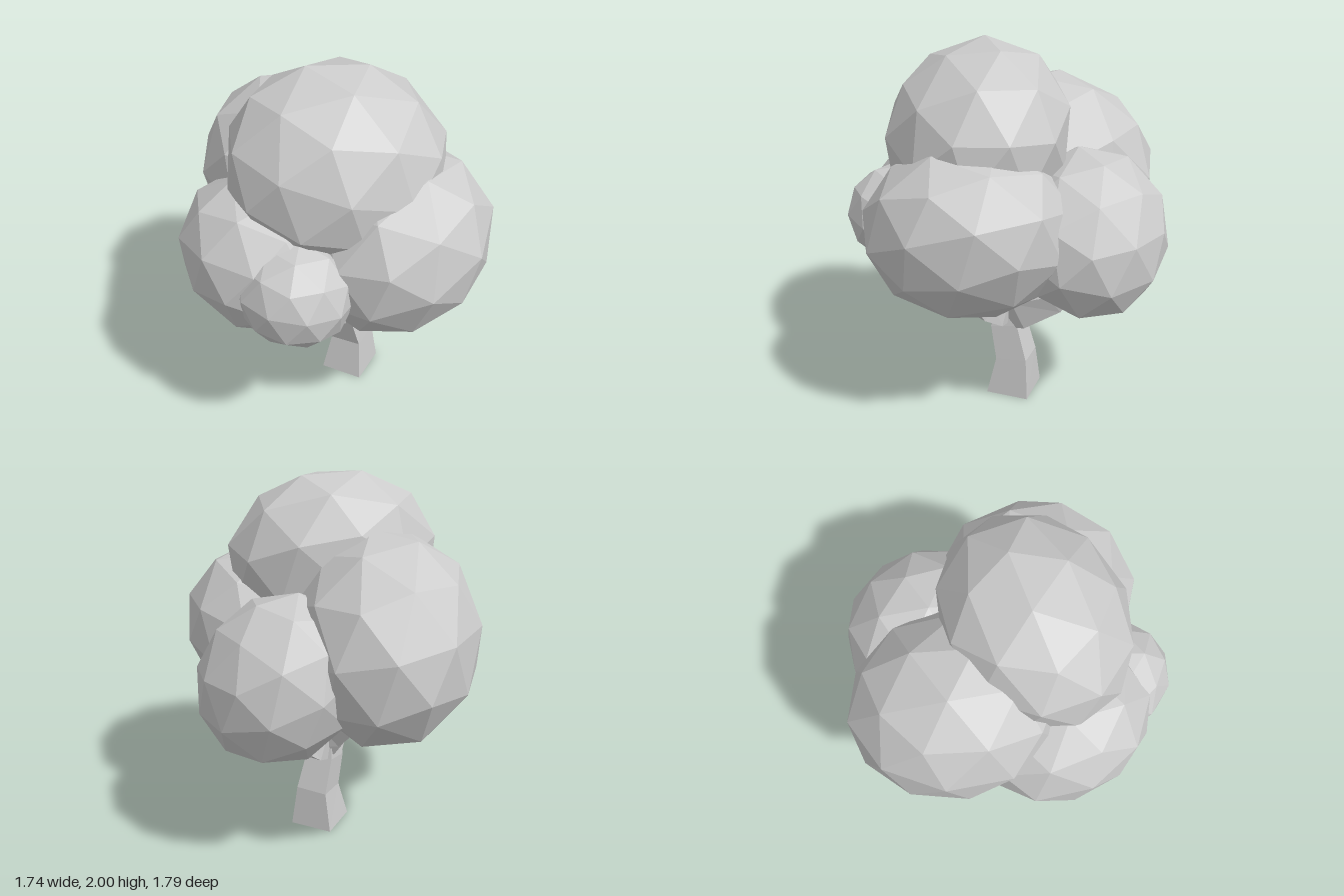
import * as THREE from 'three';

const material = new THREE.MeshStandardMaterial({ color: 0xcccccc, flatShading: true });

// Faceted leaf clump: a turned icosphere, leaned by [xy, xz, yz] and fitted to half sizes
function clump(name, centre, half, [xy, xz, yz], turn) {
  const geo = new THREE.IcosahedronGeometry(1, 1);
  geo.applyMatrix4(new THREE.Matrix4().makeRotationFromEuler(new THREE.Euler(...turn)));
  geo.applyMatrix4(new THREE.Matrix4().set(1, xy, xz, 0, xy, 1, yz, 0, xz, yz, 1, 0, 0, 0, 0, 1));
  geo.computeBoundingBox();
  const b = geo.boundingBox;
  geo.scale(half[0] / b.max.x, half[1] / b.max.y, half[2] / b.max.z);
  geo.translate(...centre);
  geo.computeVertexNormals();
  const mesh = new THREE.Mesh(geo, material);
  mesh.name = name;
  return mesh;
}

// Four-sided limb lofted through [x, y, z, half diagonal] stations;
// ref is the rough direction of the first corner
function limb(name, stations, ref) {
  const pts = stations.map(s => new THREE.Vector3(s[0], s[1], s[2]));
  const last = pts.length - 1;
  const rings = pts.map((p, i) => {
    const t = pts[Math.min(i + 1, last)].clone().sub(pts[Math.max(i - 1, 0)]).normalize();
    if (p.y === 0) t.set(0, 1, 0); // flat foot on the ground
    const u = new THREE.Vector3(...ref).projectOnPlane(t).normalize();
    const v = t.clone().cross(u);
    const r = stations[i][3];
    return [[u, r], [v, r], [u, -r], [v, -r]].map(([d, k]) => p.clone().addScaledVector(d, k));
  });
  const tris = [];
  for (let i = 0; i < last; i++) {
    for (let j = 0; j < 4; j++) {
      const k = (j + 1) % 4, a = rings[i], b = rings[i + 1];
      tris.push(a[j], a[k], b[k], a[j], b[k], b[j]);
    }
  }
  const s = rings[0], e = rings[last];
  tris.push(s[0], s[2], s[1], s[0], s[3], s[2], e[0], e[1], e[2], e[0], e[2], e[3]);
  const geo = new THREE.BufferGeometry().setFromPoints(tris);
  geo.computeVertexNormals();
  const mesh = new THREE.Mesh(geo, material);
  mesh.name = name;
  return mesh;
}

export function createModel() {
  const tree = new THREE.Group();
  tree.name = 'tree';

  // Trunk and branches
  const wood = new THREE.Group();
  wood.name = 'wood';
  wood.add(
    limb('trunk', [[0.065, 0, 0.04, 0.17], [0.08, 0.22, 0.04, 0.125], [0.025, 0.41, 0.035, 0.11],
      [0.01, 0.54, 0.03, 0.08]], [0.87, 0, 0.49]),
    limb('leftBranch', [[0.02, 0.45, 0.03, 0.08], [0.13, 0.51, 0.03, 0.11], [0.33, 0.625, 0.01, 0.075],
      [0.47, 0.85, -0.03, 0.06]], [0, 1, 1]),
    limb('rightBranch', [[0.01, 0.42, 0.04, 0.09], [-0.05, 0.53, 0.04, 0.085], [-0.11, 0.66, 0.02, 0.07],
      [-0.3, 0.9, -0.04, 0.05]], [1, 0, 1]),
    limb('frontBranch', [[0.01, 0.48, 0.04, 0.07], [0.01, 0.5, 0.13, 0.085], [0, 0.56, 0.24, 0.065],
      [0, 0.72, 0.36, 0.05]], [1, 1, 0]),
    limb('backBranch', [[0.02, 0.44, 0.03, 0.08], [0.01, 0.55, -0.04, 0.085], [0.02, 0.67, -0.17, 0.075],
      [0.03, 0.9, -0.35, 0.06]], [1, 1, 0]),
  );

  // Crown
  const crown = new THREE.Group();
  crown.name = 'crown';
  crown.add(
    clump('topLeaves', [-0.125, 1.51, 0.11], [0.545, 0.49, 0.515], [0.03, 0.08, -0.06], [0.3, 0.5, 0.2]),
    clump('frontLeaves', [0.03, 1.1, 0.38], [0.53, 0.47, 0.52], [0.04, -0.05, 0.05], [0.9, 0.2, 0.4]),
    clump('backLeaves', [0.045, 1.23, -0.4], [0.535, 0.53, 0.495], [-0.05, -0.07, 0.04], [0.2, 1.1, 0.6]),
    clump('leftLeaves', [0.48, 1.05, -0.06], [0.39, 0.435, 0.44], [-0.07, 0, -0.04], [0.5, 0.8, 0.1]),
    clump('rightLeaves', [-0.43, 1.02, -0.13], [0.44, 0.42, 0.47], [-0.04, -0.05, 0], [0.7, 0.3, 0.9]),
    clump('smallLeaves', [-0.57, 1.01, 0.23], [0.28, 0.28, 0.31], [0, 0, 0], [0.1, 0.6, 0.4]),
  );

  tree.add(wood, crown);
  return tree;
}
